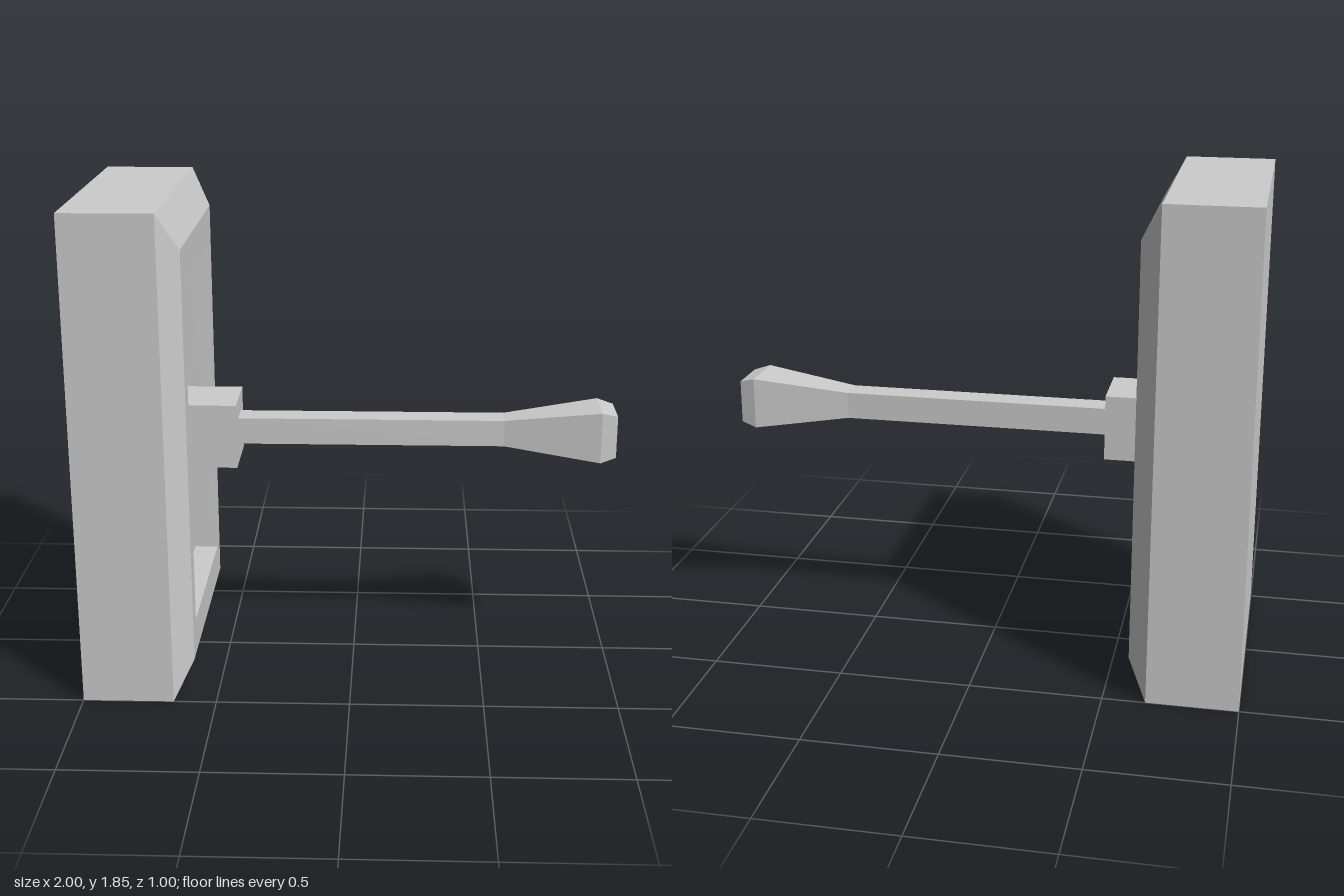
import * as THREE from 'three';

const MID_Y = 0.9225;
const material = new THREE.MeshStandardMaterial({ color: 0xcccccc, flatShading: true });

// Lofts rectangular sections [x, halfHeight, halfDepth] along x, capping both ends.
function rectLoft(name, sections) {
  const rings = sections.map(([x, h, d]) => [
    [x, -h, d], [x, -h, -d], [x, h, -d], [x, h, d],
  ]);
  const positions = [];
  const quad = (a, b, c, d) => positions.push(...a, ...b, ...c, ...a, ...c, ...d);

  for (let s = 0; s < rings.length - 1; s++) {
    for (let i = 0; i < 4; i++) {
      const j = (i + 1) % 4;
      quad(rings[s][i], rings[s][j], rings[s + 1][j], rings[s + 1][i]);
    }
  }
  quad(...[...rings[0]].reverse());
  quad(...rings[rings.length - 1]);

  const geometry = new THREE.BufferGeometry();
  geometry.setAttribute('position', new THREE.Float32BufferAttribute(positions, 3));
  geometry.computeVertexNormals();
  const mesh = new THREE.Mesh(geometry, material);
  mesh.name = name;
  mesh.position.y = MID_Y;
  return mesh;
}

export function createModel() {
  const model = new THREE.Group();
  model.name = 'leverSwitch';

  // Wall plate: straight sides, bevelled rim, recessed panel
  model.add(rectLoft('plate', [
    [-1, MID_Y, 0.5],
    [-0.66, MID_Y, 0.5],
    [-0.587, 0.783, 0.427],
    [-0.587, 0.652, 0.354],
    [-0.68, 0.652, 0.354],
  ]));

  // Square mount standing on the recessed panel
  model.add(rectLoft('leverMount', [
    [-0.68, 0.124, 0.124],
    [-0.441, 0.124, 0.124],
  ]));

  // Lever: slim shaft, flared grip, chamfered tip
  model.add(rectLoft('lever', [
    [-0.441, 0.051, 0.051],
    [0.575, 0.051, 0.051],
    [0.94, 0.099, 0.099],
    [1, 0.082, 0.082],
  ]));

  return model;
}
